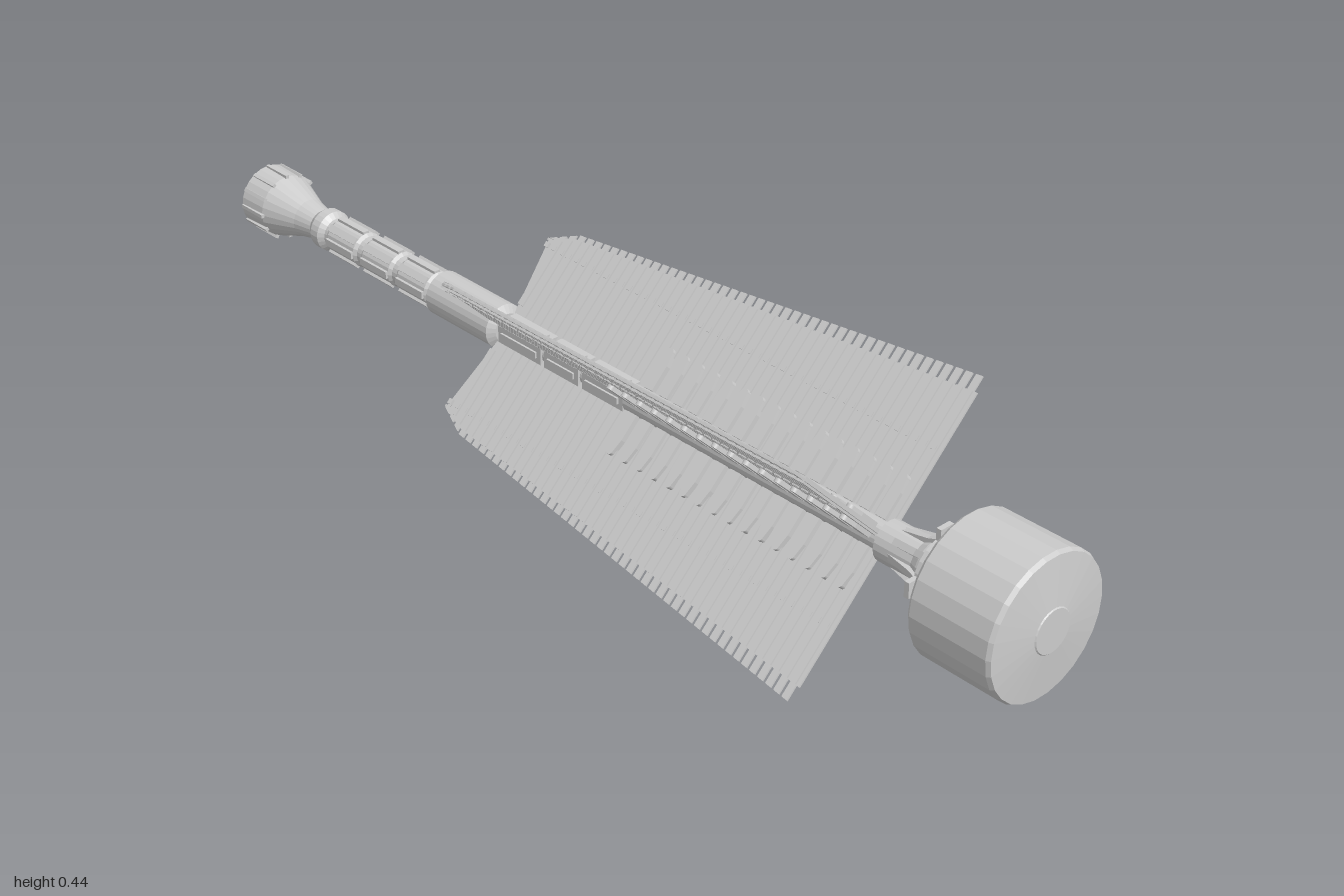
import * as THREE from 'three';

export function createModel() {
  const root = new THREE.Group();
  root.position.y = 0.22;
  const mat = new THREE.MeshStandardMaterial({ color: 0xcccccc, flatShading: true });
  const open = new THREE.MeshStandardMaterial({ color: 0xcccccc, flatShading: true, side: THREE.DoubleSide });

  const add = (parent, name, geo, material = mat) => {
    const m = new THREE.Mesh(geo, material);
    m.name = name;
    parent.add(m);
    return m;
  };
  // turned part along the x axis; profile is [x, radius] from left to right
  const turned = (name, profile, sides = 24, material = mat) => {
    const g = new THREE.LatheGeometry(profile.map(([x, r]) => new THREE.Vector2(r, x)), sides);
    g.rotateZ(-Math.PI / 2);
    return add(root, name, g, material);
  };
  const box = (parent, name, x0, x1, y0, y1, depth) => {
    const g = new THREE.BoxGeometry(x1 - x0, y1 - y0, depth);
    g.translate((x0 + x1) / 2, (y0 + y1) / 2, 0);
    return add(parent, name, g);
  };
  // repeats a part around the long axis; inside, +y points outwards
  const around = (name, count, start, build) => {
    for (let i = 0; i < count; i++) {
      const g = new THREE.Group();
      g.name = name;
      g.rotation.x = start + (i * Math.PI * 2) / count;
      root.add(g);
      build(g);
    }
  };

  // hollow tail nozzle
  turned('nozzle', [[-0.89, 0], [-0.91, 0.03], [-0.95, 0.052], [-1, 0.056], [-1, 0.064], [-0.94, 0.062],
    [-0.87, 0.038], [-0.83, 0.03], [-0.82, 0.03]], 24, open);
  around('nozzleRib', 12, 0, (g) => box(g, 'rib', -0.998, -0.935, 0.056, 0.067, 0.007));

  // tail shaft with collars and plain sleeve
  turned('tailShaft', [[-0.83, 0], [-0.83, 0.03], [-0.815, 0.04], [-0.795, 0.04], [-0.785, 0.03],
    [-0.465, 0.03], [-0.465, 0.043], [-0.295, 0.043], [-0.285, 0.028], [-0.285, 0]]);
  for (let i = 0; i < 3; i++) {
    const x = -0.78 + i * 0.105;
    turned('tailSegment', [[x, 0.028], [x + 0.01, 0.035], [x + 0.088, 0.035], [x + 0.098, 0.028]], 16);
    around('tailPanel', 8, 0, (g) => box(g, 'panel', x + 0.01, x + 0.088, 0.03, 0.039, 0.014));
  }

  // central spine
  turned('spine', [[-0.3, 0], [-0.3, 0.022], [0.05, 0.022], [0.05, 0.026], [0.655, 0.026], [0.655, 0.038],
    [0.735, 0.038], [0.75, 0.045], [0.83, 0.06], [0.83, 0]], 20);
  around('spinePanels', 4, 0, (g) => {
    for (const [a, b] of [[-0.28, -0.165], [-0.155, -0.065], [-0.055, 0.05]]) {
      box(g, 'panel', a, b, 0.012, 0.026, 0.034);
      box(g, 'panelRidge', a + 0.01, b - 0.01, 0.02, 0.03, 0.012);
    }
  });

  // large drum at the nose, slightly domed
  turned('drum', [[0.815, 0], [0.815, 0.128], [0.822, 0.134], [0.98, 0.135], [0.988, 0.131], [0.998, 0.042], [1, 0.04], [1, 0]], 26);
  turned('neckRing', [[0.766, 0.04], [0.766, 0.064], [0.776, 0.064], [0.776, 0.04]], 20);

  // braces behind the drum
  const brace = new THREE.Shape();
  [[0.65, 0.02], [0.82, 0.03], [0.82, 0.08], [0.79, 0.066], [0.74, 0.048], [0.65, 0.03]]
    .forEach(([x, y], i) => (i ? brace.lineTo(x, y) : brace.moveTo(x, y)));
  const braceGeo = new THREE.ExtrudeGeometry(brace, { depth: 0.012, bevelEnabled: false });
  braceGeo.translate(0, 0, -0.006);
  around('brace', 8, 0, (g) => add(g, 'web', braceGeo));
  around('neckLug', 4, 0, (g) => box(g, 'lug', 0.766, 0.776, 0.05, 0.084, 0.03));

  // fin outline: outer edge and edge of the thick part, by x
  const outer = (x) => (x < -0.25 ? 0.181 + (x + 0.31) * 0.48 : 0.21 + (x + 0.25) * 0.107);
  const thick = (x) => Math.min(outer(x) - 0.006, 0.2 + (x + 0.25) * 0.086);
  const count = 48, pitch = 0.965 / count;
  const slatX = (i) => -0.31 + i * pitch;

  // thin fin plate with a toothed outer edge
  const plate = new THREE.Shape();
  plate.moveTo(-0.285, 0.015);
  plate.lineTo(0.655, 0.015);
  for (let i = count - 1; i >= 0; i--) {
    const a = slatX(i), b = a + pitch * 0.65;
    plate.lineTo(a + pitch, thick(a + pitch));
    plate.lineTo(b, thick(b));
    plate.lineTo(b, outer(b));
    plate.lineTo(a, outer(a));
  }
  plate.closePath();
  const plateGeo = new THREE.ExtrudeGeometry(plate, { depth: 0.004, bevelEnabled: false });
  plateGeo.translate(0, 0, -0.002);

  // rounded tongue lying along the fin root
  const tongue = new THREE.Shape();
  tongue.moveTo(-0.011, 0.025);
  tongue.lineTo(0.011, 0.025);
  tongue.lineTo(0.011, 0.075);
  tongue.lineTo(0.007, 0.1);
  tongue.absarc(0, 0.1, 0.007, 0, Math.PI, false);
  tongue.lineTo(-0.011, 0.075);
  tongue.closePath();
  const tongueGeo = new THREE.ExtrudeGeometry(tongue, { depth: 0.028, bevelEnabled: false });
  tongueGeo.translate(0, 0, -0.014);

  around('fin', 4, Math.PI / 4, (g) => {
    add(g, 'finPlate', plateGeo);
    for (let i = 0; i < count; i++) {
      const a = slatX(i), b = a + pitch * 0.65;
      // the leading slats start higher, following the slanted end
      const root0 = a < -0.285 ? 0.015 + (-0.285 - a) * 6.6 : 0.015;
      box(g, 'slat', a, b, root0, thick(a), 0.012);
      box(g, 'slatStud', a + 0.002, b - 0.002, 0.162, 0.172, 0.016);
    }
    for (let i = 0; i < 16; i++) {
      const t = add(g, 'tongue', tongueGeo);
      t.position.x = 0.077 + i * 0.0366;
    }
  });

  return root;
}
